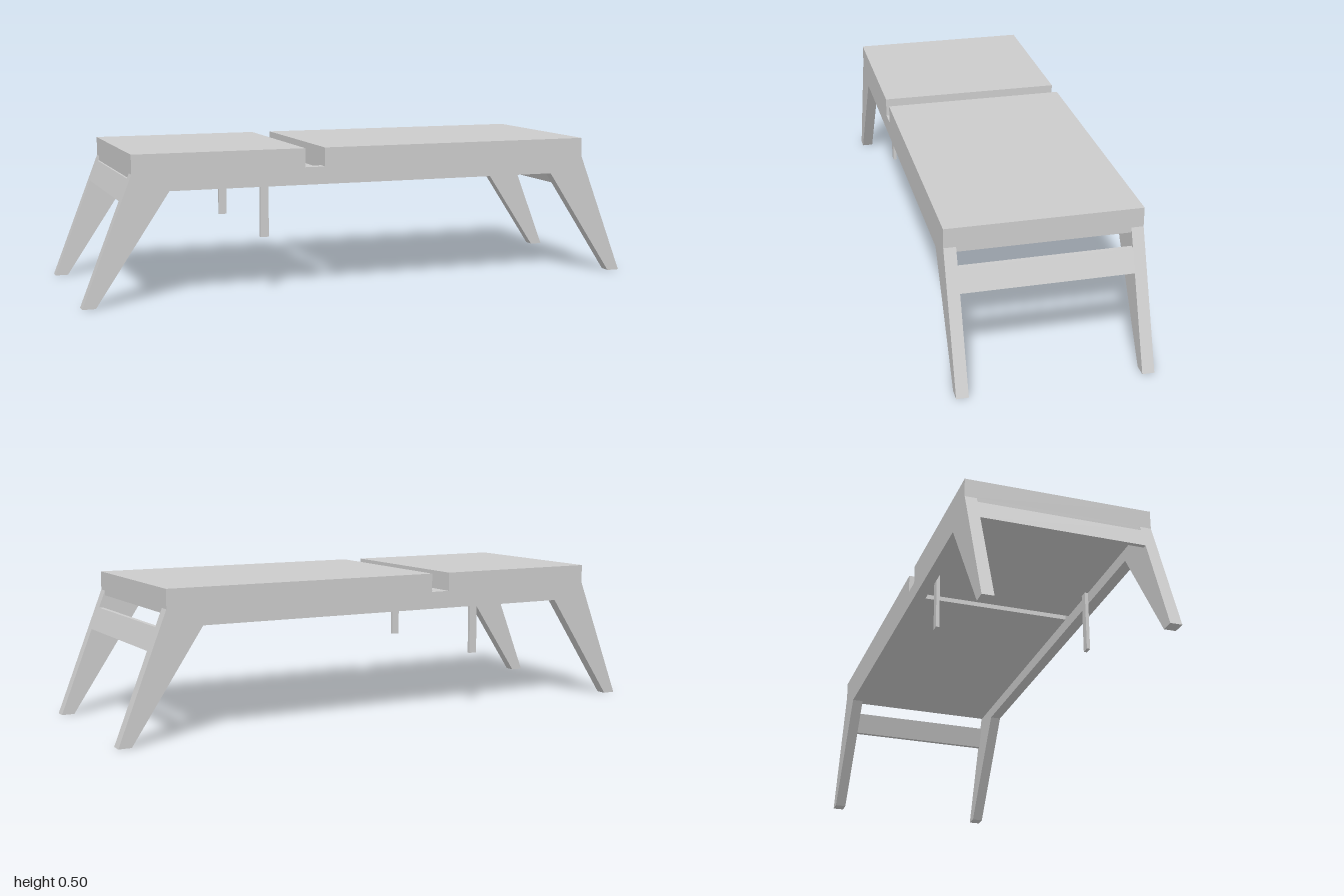
import * as THREE from 'three';

const material = new THREE.MeshStandardMaterial({ color: 0xcccccc, flatShading: true });

// Extrudes an x-y outline along z, from z0 to z1
function extrude(name, points, z0, z1) {
  const shape = new THREE.Shape(points.map(([x, y]) => new THREE.Vector2(x, y)));
  const geometry = new THREE.ExtrudeGeometry(shape, { depth: z1 - z0, bevelEnabled: false });
  geometry.translate(0, 0, z0);
  const mesh = new THREE.Mesh(geometry, material);
  mesh.name = name;
  return mesh;
}

// Box given by its minimum and maximum corners
function box(name, [x0, y0, z0], [x1, y1, z1]) {
  const mesh = new THREE.Mesh(new THREE.BoxGeometry(x1 - x0, y1 - y0, z1 - z0), material);
  mesh.position.set((x0 + x1) / 2, (y0 + y1) / 2, (z0 + z1) / 2);
  mesh.name = name;
  return mesh;
}

const HALF = 0.32;    // half width of the bench
const INNER = 0.28;   // inner face of the side frames
const TOP = 0.5, FRAME_TOP = 0.435, BOARD_BOTTOM = 0.418, RAIL_BOTTOM = 0.375;
const END = 0.83;

// x of the sloping outer leg edge at height y
const slopeX = (y) => 1 - (1 - END) * y / FRAME_TOP;

// Sloped panel between the legs of one end
function apron(name, side, y0, y1, thickness) {
  const points = [
    [slopeX(y0) - thickness, y0], [slopeX(y0), y0],
    [slopeX(y1), y1], [slopeX(y1) - thickness, y1],
  ].map(([x, y]) => [side * x, y]);
  return extrude(name, points, -INNER, INNER);
}

export function createModel() {
  const model = new THREE.Group();
  model.name = 'bench';

  // Side frames: a long rail with two splayed, tapering legs
  const frame = [
    [-1, 0], [-0.955, 0], [-0.705, RAIL_BOTTOM], [0.705, RAIL_BOTTOM],
    [0.955, 0], [1, 0], [END, FRAME_TOP], [-END, FRAME_TOP],
  ];
  model.add(extrude('leftSideFrame', frame, INNER, HALF));
  model.add(extrude('rightSideFrame', frame, -HALF, -INNER));

  // Two top slabs with a gap between them
  model.add(box('shortTop', [-END, FRAME_TOP, -HALF], [-0.235, TOP, HALF]));
  model.add(box('longTop', [-0.165, FRAME_TOP, -HALF], [END, TOP, HALF]));

  // Boards under the slabs; the short one reaches into the gap as a ledge
  model.add(box('shortBoard', [-END, BOARD_BOTTOM, -INNER], [-0.195, FRAME_TOP, INNER]));
  model.add(box('longBoard', [-0.165, BOARD_BOTTOM, -INNER], [END, FRAME_TOP, INNER]));

  // End aprons: the one at +x sits lower and leaves an open slot
  model.add(apron('lowApron', 1, 0.3, RAIL_BOTTOM, 0.015));
  model.add(apron('highApron', -1, 0.345, BOARD_BOTTOM, 0.015));

  // Thin props hanging inside the rails
  for (const s of [-1, 1]) {
    const z = s * (INNER - 0.006);
    model.add(box('prop', [-0.383, 0.197, z - 0.006], [-0.354, BOARD_BOTTOM, z + 0.006]));
  }

  return model;
}
